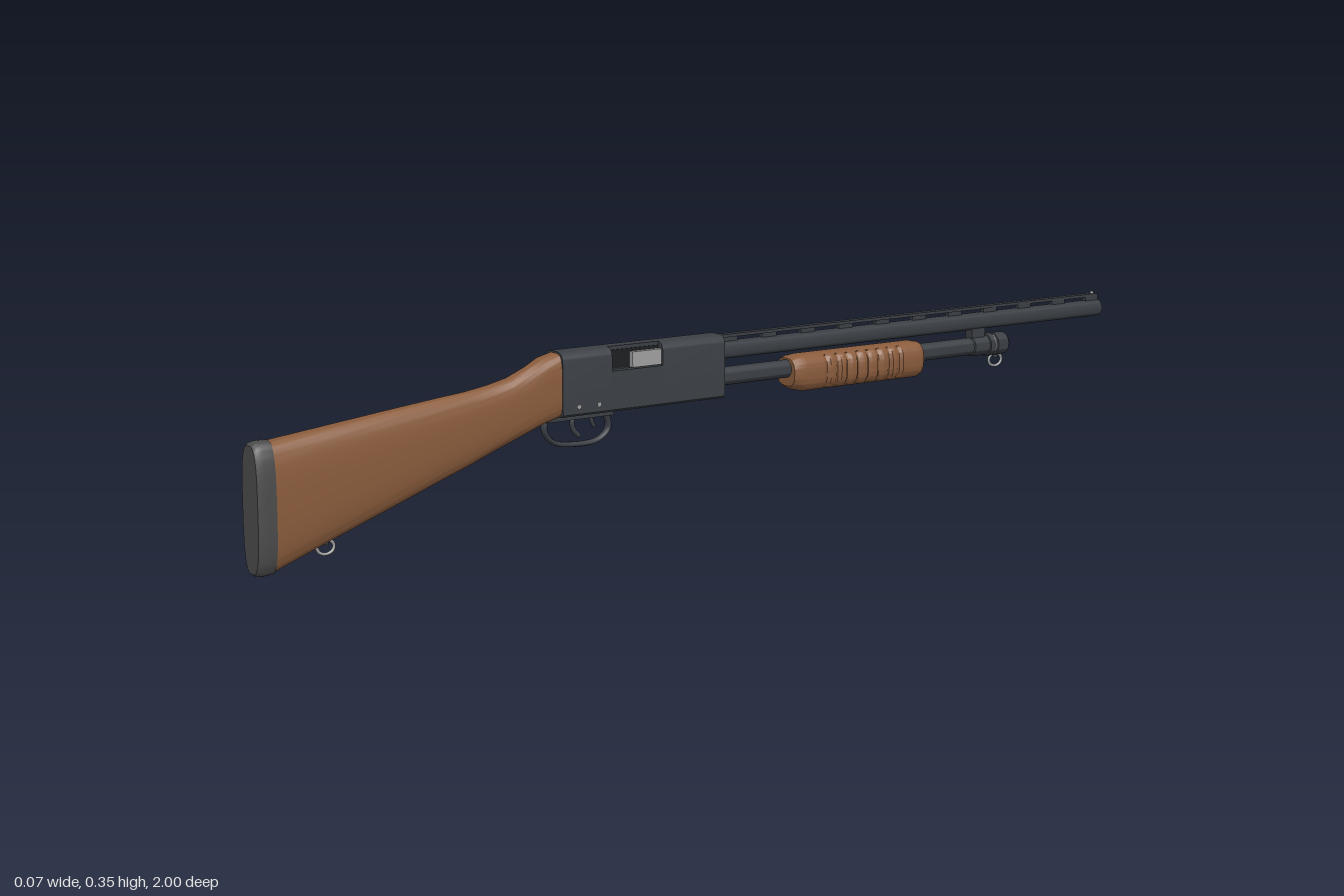
import * as THREE from 'three';
import { toCreasedNormals } from 'three/addons/utils/BufferGeometryUtils.js';

const mat = (color) => new THREE.MeshStandardMaterial({ color });
const metal = mat(0x3b3f44), dark = mat(0x1d1f21), wood = mat(0x8a5c3c), rubber = mat(0x4b4b4b), steel = mat(0xa0a0a0);

export function createModel() {
  const model = new THREE.Group();

  function add(name, geometry, material, x = 0, y = 0, z = 0) {
    const mesh = new THREE.Mesh(geometry, material);
    mesh.name = name;
    mesh.position.set(x, y, z);
    model.add(mesh);
    return mesh;
  }
  const box = (name, m, w, h, d, x, y, z) => add(name, new THREE.BoxGeometry(w, h, d), m, x, y, z);

  // Turned part along z, from [radius, z] pairs running towards +z on the outside
  function turned(name, m, y, pairs) {
    const g = new THREE.LatheGeometry(pairs.map((p) => new THREE.Vector2(...p)), 32).rotateX(Math.PI / 2);
    return add(name, toCreasedNormals(g, 0.6), m, 0, y, 0);
  }

  // Bent rod in the zy plane, from [z, y] pairs
  function rod(name, m, pairs, r, closed = false, widen = 1) {
    const curve = new THREE.CatmullRomCurve3(pairs.map(([z, y]) => new THREE.Vector3(0, y, z)), closed);
    return add(name, new THREE.TubeGeometry(curve, 40, r, 10, closed).scale(widen, 1, 1), m);
  }

  // Loft of superellipse sections [z, top, bottom, halfWidth, exponent];
  // pinch(z, angle) scales the width locally
  function loft(name, m, sections, pinch = () => 1) {
    const N = 48, pos = [], index = [];
    const ring = ([z, top, bottom, w, n]) => {
      for (let i = 0; i < N; i++) {
        const a = (i / N) * Math.PI * 2, c = Math.cos(a), s = Math.sin(a);
        const k = (v) => Math.sign(v) * Math.abs(v) ** (2 / n);
        pos.push(w * k(c) * pinch(z, a), (top + bottom) / 2 + ((top - bottom) / 2) * k(s), z);
      }
    };
    sections.forEach(ring);
    for (let j = 0; j < sections.length - 1; j++) {
      for (let i = 0; i < N; i++) {
        const a = j * N + i, b = j * N + ((i + 1) % N);
        index.push(a, b, a + N, b, b + N, a + N);
      }
    }
    // End caps
    [sections[0], sections.at(-1)].forEach((s, e) => {
      const start = pos.length / 3;
      ring(s);
      pos.push(0, (s[1] + s[2]) / 2, s[0]);
      for (let i = 0; i < N; i++) {
        const a = start + i, b = start + ((i + 1) % N);
        index.push(start + N, e ? a : b, e ? b : a);
      }
    });
    const g = new THREE.BufferGeometry();
    g.setAttribute('position', new THREE.Float32BufferAttribute(pos, 3));
    g.setIndex(index);
    return add(name, toCreasedNormals(g, 0.7), m);
  }

  // Shoulder stock and butt pad
  loft('stock', wood, [
    [0.365, 0.343, 0.222, 0.029, 4], [0.4, 0.335, 0.212, 0.028, 3.6], [0.43, 0.32, 0.2, 0.026, 3.2],
    [0.47, 0.304, 0.185, 0.025, 3], [0.51, 0.295, 0.17, 0.025, 2.9], [0.56, 0.287, 0.151, 0.027, 2.9],
    [0.62, 0.281, 0.13, 0.029, 2.9], [0.72, 0.27, 0.094, 0.031, 3], [0.85, 0.255, 0.048, 0.033, 3.1],
    [0.965, 0.242, 0.006, 0.034, 3.2],
  ]);
  loft('buttPad', rubber, [
    [0.965, 0.244, 0.003, 0.0345, 3.2], [0.985, 0.244, 0.001, 0.0345, 3.2],
    [0.995, 0.242, 0.002, 0.033, 3.2], [1.0, 0.237, 0.006, 0.03, 3.2],
  ]);

  // Receiver, in slices so the ejection port and loading gate are really cut
  function receiverSlice(z0, z1, port, gate) {
    const s = new THREE.Shape(), w = 0.03, b = 0.222, t = 0.345, r = 0.02;
    s.moveTo(-w + 0.004, b);
    if (gate) [[-0.019, b], [-0.019, 0.242], [0.019, 0.242], [0.019, b]].forEach((p) => s.lineTo(...p));
    s.lineTo(w - 0.004, b);
    s.lineTo(w, b + 0.004);
    if (port) {
      s.lineTo(w, 0.3);
      s.lineTo(0.014, 0.3);
      s.lineTo(0.014, t);
    } else {
      s.lineTo(w, t - r);
      s.quadraticCurveTo(w, t, w - r, t);
    }
    s.lineTo(-w + r, t);
    s.quadraticCurveTo(-w, t, -w, t - r);
    s.lineTo(-w, b + 0.004);
    const g = new THREE.ExtrudeGeometry(s, { depth: z1 - z0, bevelEnabled: false, curveSegments: 8 });
    add('receiver', toCreasedNormals(g, 0.6), metal, 0, 0, z0);
  }
  receiverSlice(0, 0.03, false, false);
  receiverSlice(0.03, 0.145, false, true);
  receiverSlice(0.145, 0.2, true, true);
  receiverSlice(0.2, 0.26, true, false);
  receiverSlice(0.26, 0.37, false, false);
  box('portLining', dark, 0.003, 0.036, 0.112, 0.0145, 0.32, 0.2025);
  box('bolt', steel, 0.014, 0.03, 0.066, 0.02, 0.317, 0.179);
  box('loadingGate', dark, 0.036, 0.006, 0.165, 0, 0.238, 0.115);
  for (const z of [0.29, 0.335]) {
    add('receiverPin', new THREE.CylinderGeometry(0.004, 0.004, 0.0615, 16).rotateZ(Math.PI / 2), steel, 0, 0.24, z);
  }

  // Trigger group
  box('triggerPlate', metal, 0.03, 0.012, 0.15, 0, 0.219, 0.322);
  rod('triggerGuard', metal, [[0.39, 0.222], [0.394, 0.195], [0.375, 0.172], [0.325, 0.163], [0.275, 0.167],
    [0.252, 0.187], [0.258, 0.222]], 0.005, false, 1.8);
  rod('trigger', metal, [[0.325, 0.222], [0.332, 0.205], [0.328, 0.19], [0.317, 0.178]], 0.005);
  rod('actionRelease', metal, [[0.285, 0.222], [0.289, 0.208], [0.283, 0.193]], 0.004);

  // Barrel with open bore
  turned('barrel', metal, 0.311, [[0, -0.9], [0.013, -0.9], [0.013, -1], [0.0175, -1], [0.0175, 0.01]]);

  // Ventilated rib
  box('rib', metal, 0.015, 0.006, 0.995, 0, 0.339, -0.4975);
  for (let i = 0; i < 11; i++) box('ribPost', metal, 0.01, 0.014, 0.035, 0, 0.331, -0.03 - i * 0.095);
  add('frontBead', new THREE.SphereGeometry(0.004, 12, 8), steel, 0, 0.343, -0.985);

  // Magazine tube, end cap and barrel clamp
  turned('magazineTube', metal, 0.259, [[0.018, -0.66], [0.018, 0.01]]);
  turned('magazineCap', metal, 0.259, [[0, -0.74], [0.017, -0.74], [0.023, -0.733], [0.024, -0.705], [0.021, -0.704],
    [0.021, -0.698], [0.024, -0.697], [0.024, -0.685], [0.021, -0.684], [0.021, -0.645], [0.018, -0.643]]);
  turned('capRing', steel, 0.259, [[0.0215, -0.703], [0.0225, -0.7], [0.0215, -0.697]]);
  box('barrelClamp', metal, 0.02, 0.03, 0.035, 0, 0.288, -0.66);

  // Sliding fore-end with eight grooves on each side
  const foreEnd = [[-0.5, 0.279, 0.222, 0.028, 2.8], [-0.496, 0.284, 0.216, 0.032, 2.8]];
  for (let i = 0; i <= 96; i++) {
    const t = i / 96;
    foreEnd.push([-0.485 + t * 0.285, 0.286, 0.212, 0.036, 2.8]);
  }
  foreEnd.push([-0.18, 0.284, 0.217, 0.034, 2.8], [-0.17, 0.28, 0.224, 0.029, 2.8]);
  loft('foreEnd', wood, foreEnd, (z, a) => {
    const t = ((z + 0.44) / 0.21) * 8;
    if (t < 0 || t > 8 || Math.abs(Math.sin(a)) > 0.8) return 1;
    return 1 - 0.16 * Math.max(0, Math.sin((t % 1) * Math.PI * 2));
  });

  // Sling swivels under the cap and the stock
  for (const [y, z] of [[0.225, -0.715], [0.036, 0.855]]) {
    const loop = Array.from({ length: 10 }, (_, i) => {
      const a = (i / 10) * Math.PI * 2;
      return [z + 0.017 * Math.cos(a), y + 0.013 * Math.sin(a)];
    });
    rod('slingSwivel', steel, loop, 0.003, true);
    add('swivelStud', new THREE.CylinderGeometry(0.005, 0.006, 0.022, 12), metal, 0, y + 0.016, z);
  }

  return model;
}
